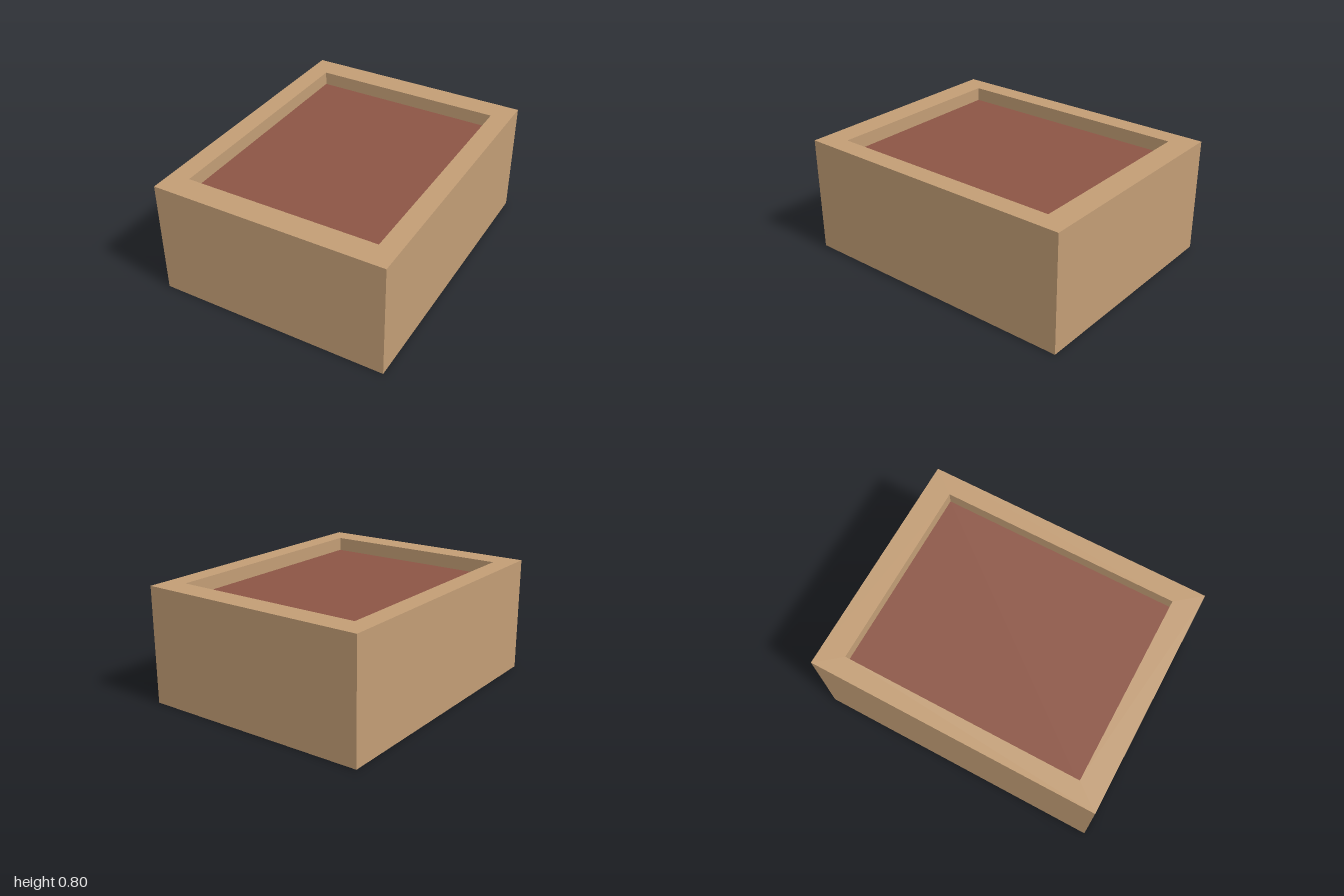
import * as THREE from 'three';

const WIDTH = 1.6, DEPTH = 2, HEIGHT = 0.8;
const INSET = 0.83; // opening as a share of the outer size
const FLOOR = 0.705; // height of the recessed panel

export function createModel() {
  const wood = new THREE.MeshStandardMaterial({ color: 0xc29d75 });
  wood.name = 'lightWood';
  const fill = new THREE.MeshStandardMaterial({ color: 0x8c5545 });
  fill.name = 'redBrown';

  const model = new THREE.Group();
  model.name = 'box';
  const add = (name, geometry, material) => {
    const mesh = new THREE.Mesh(geometry, material);
    mesh.name = name;
    model.add(mesh);
    return mesh;
  };

  // Four-sided shell: outer walls, flat rim and the short inner walls
  const profile = [[1, 0], [1, HEIGHT], [INSET, HEIGHT], [INSET, FLOOR]]
    .map(([r, y]) => new THREE.Vector2(r * Math.SQRT2, y));
  const shell = new THREE.LatheGeometry(profile, 4, Math.PI / 4)
    .scale(WIDTH / 2, 1, DEPTH / 2)
    .toNonIndexed();
  shell.computeVertexNormals();
  add('walls', shell, wood);

  // Underside
  add('base', new THREE.PlaneGeometry(WIDTH, DEPTH).rotateX(Math.PI / 2), wood);

  // Recessed panel inside the rim
  const panel = add('recessedPanel',
    new THREE.PlaneGeometry(WIDTH * INSET, DEPTH * INSET).rotateX(-Math.PI / 2), fill);
  panel.position.y = FLOOR;

  return model;
}
